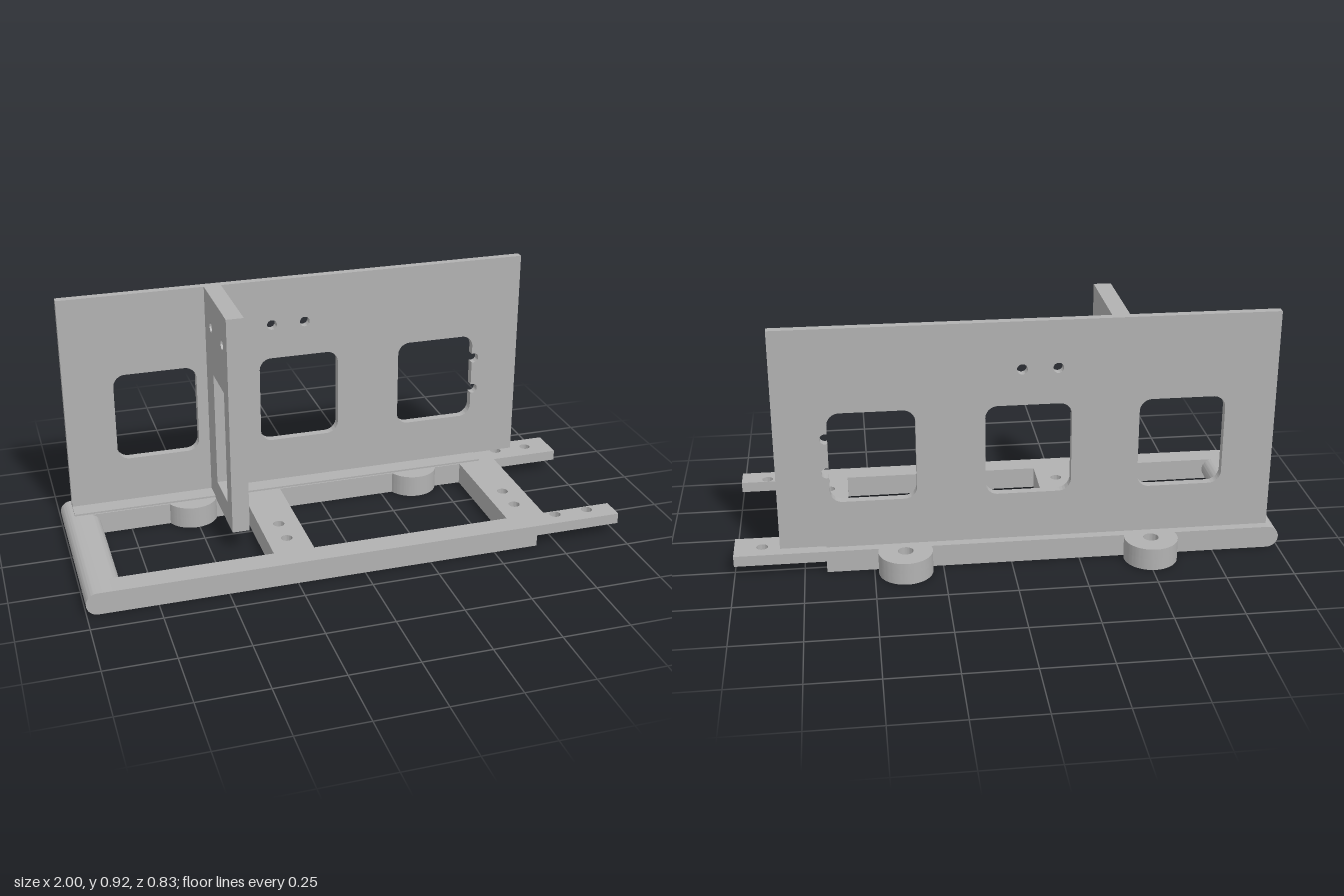
import * as THREE from 'three';
import { toCreasedNormals } from 'three/addons/utils/BufferGeometryUtils.js';

const BASE_H = 0.083, STEP_Y = 0.043;
const FRONT = 0.413, BACK = -0.288;      // z limits of the frame
const BOSS_X = [0.387, -0.51], BOSS_R = 0.098;

const circle = (x, y, r) => new THREE.Path().absarc(x, y, r, 0, Math.PI * 2, true);

function rect(x0, y0, x1, y1, Type = THREE.Path) {
  return new Type().moveTo(x0, y0).lineTo(x1, y0).lineTo(x1, y1).lineTo(x0, y1).closePath();
}

// Rounded window, optionally with small round notches in its right edge
function windowPath(x0, y0, x1, y1, r, notches = []) {
  const p = new THREE.Path();
  const H = Math.PI / 2;
  p.absarc(x0 + r, y0 + r, r, Math.PI, 3 * H, false);
  p.absarc(x1 - r, y0 + r, r, 3 * H, 4 * H, false);
  for (const y of notches) p.absarc(x1 + 0.008, y, 0.019, -2.0, 2.0, false);
  p.absarc(x1 - r, y1 - r, r, 0, H, false);
  p.absarc(x0 + r, y1 - r, r, H, Math.PI, false);
  p.closePath();
  return p;
}

function extrude(shape, depth) {
  return new THREE.ExtrudeGeometry(shape, { depth, bevelEnabled: false, curveSegments: 24 });
}

// Frame outline in (x, -z); the upper layer carries the two projecting arms
function frameShape(upper) {
  const s = new THREE.Shape();
  const left = -0.9065, f = -FRONT, b = -BACK, railF = -0.325, railB = 0.152;
  s.moveTo(left, f);
  if (upper) {
    s.lineTo(1, f).lineTo(1, railF).lineTo(0.733, railF);
    s.lineTo(0.733, railB).lineTo(1, railB).lineTo(1, b);
  } else {
    s.lineTo(0.67, f);
    // screw holes break through the end of the lower layer
    for (const v of [-0.23, -0.118]) s.absarc(0.655, v, 0.021, -0.775, 0.775, true);
    s.lineTo(0.67, b);
  }
  // rear mounting lugs
  const a = Math.asin((0.315 - b) / BOSS_R);
  for (const x of BOSS_X) s.absarc(x, 0.315, BOSS_R, -a, Math.PI + a, false);
  s.lineTo(left, b).lineTo(left, railB);
  // matching bulges on the inner side of the rear rail
  const c = Math.asin((0.189 - railB) / BOSS_R);
  const bulge = (path, x) => path.absarc(x, 0.189, BOSS_R, Math.PI + c, 2 * Math.PI - c, false);
  bulge(s, BOSS_X[1]);
  s.lineTo(-0.316, railB).lineTo(-0.316, railF).lineTo(left, railF).closePath();

  const opening = new THREE.Path().moveTo(-0.166, railF).lineTo(-0.166, railB);
  bulge(opening, BOSS_X[0]);
  opening.lineTo(0.583, railB).lineTo(0.583, railF).closePath();
  s.holes.push(opening);

  for (const x of BOSS_X) s.holes.push(circle(x, 0.315, 0.028));
  for (const v of [-0.23, -0.118]) {
    s.holes.push(circle(-0.243, v, 0.021));
    if (upper) s.holes.push(circle(0.655, v, 0.021));
  }
  if (upper) for (const x of [0.77, 0.9]) for (const v of [-0.348, 0.224]) s.holes.push(circle(x, v, 0.021));
  return s;
}

export function createModel() {
  const model = new THREE.Group();
  model.name = 'mountingBracket';
  const grey = new THREE.MeshStandardMaterial({ color: 0xb2b2b2 });
  grey.name = 'plainGrey';

  const add = (name, geometry) => {
    const mesh = new THREE.Mesh(toCreasedNormals(geometry, 0.5), grey);
    mesh.name = name;
    model.add(mesh);
  };

  // Base frame in two layers
  add('frameLower', extrude(frameShape(false), STEP_Y).rotateX(-Math.PI / 2));
  add('frameUpper', extrude(frameShape(true), BASE_H - STEP_Y).rotateX(-Math.PI / 2).translate(0, STEP_Y, 0));

  // Rounded end bar
  const r = BASE_H / 2;
  const bar = new THREE.Shape();
  bar.absarc(-0.865 - r, r, r, -Math.PI / 2, Math.PI / 2, false);
  bar.absarc(-1 + r, r, r, Math.PI / 2, Math.PI * 1.5, false);
  add('roundedEndBar', extrude(bar, FRONT - BACK).translate(0, 0, BACK));

  // Low seat strip under the upright plate
  add('seatStrip', new THREE.BoxGeometry(1.63, 0.007, 0.098).translate(-0.145, BASE_H + 0.0035, -0.206));

  // Upright back plate with three windows
  const plate = rect(-0.96, 0.088, 0.835, 0.915, THREE.Shape);
  plate.holes.push(
    windowPath(-0.775, 0.262, -0.463, 0.604, 0.045),
    windowPath(-0.219, 0.262, 0.091, 0.604, 0.045),
    windowPath(0.337, 0.262, 0.647, 0.604, 0.045, [0.377, 0.508]),
    circle(-0.168, 0.738, 0.019), circle(-0.04, 0.738, 0.019));
  add('backPlate', extrude(plate, 0.031).translate(0, 0, -0.255));

  // Cross divider, drawn in (-z, y) and turned to face sideways
  const divider = rect(-0.135, BASE_H, 0.224, 0.915, THREE.Shape);
  divider.holes.push(rect(-0.065, 0.172, 0.108, 0.612), circle(-0.055, 0.793, 0.019), circle(0.125, 0.793, 0.019));
  add('crossDivider', extrude(divider, 0.064).rotateY(Math.PI / 2).translate(-0.422, 0, 0));

  return model;
}
